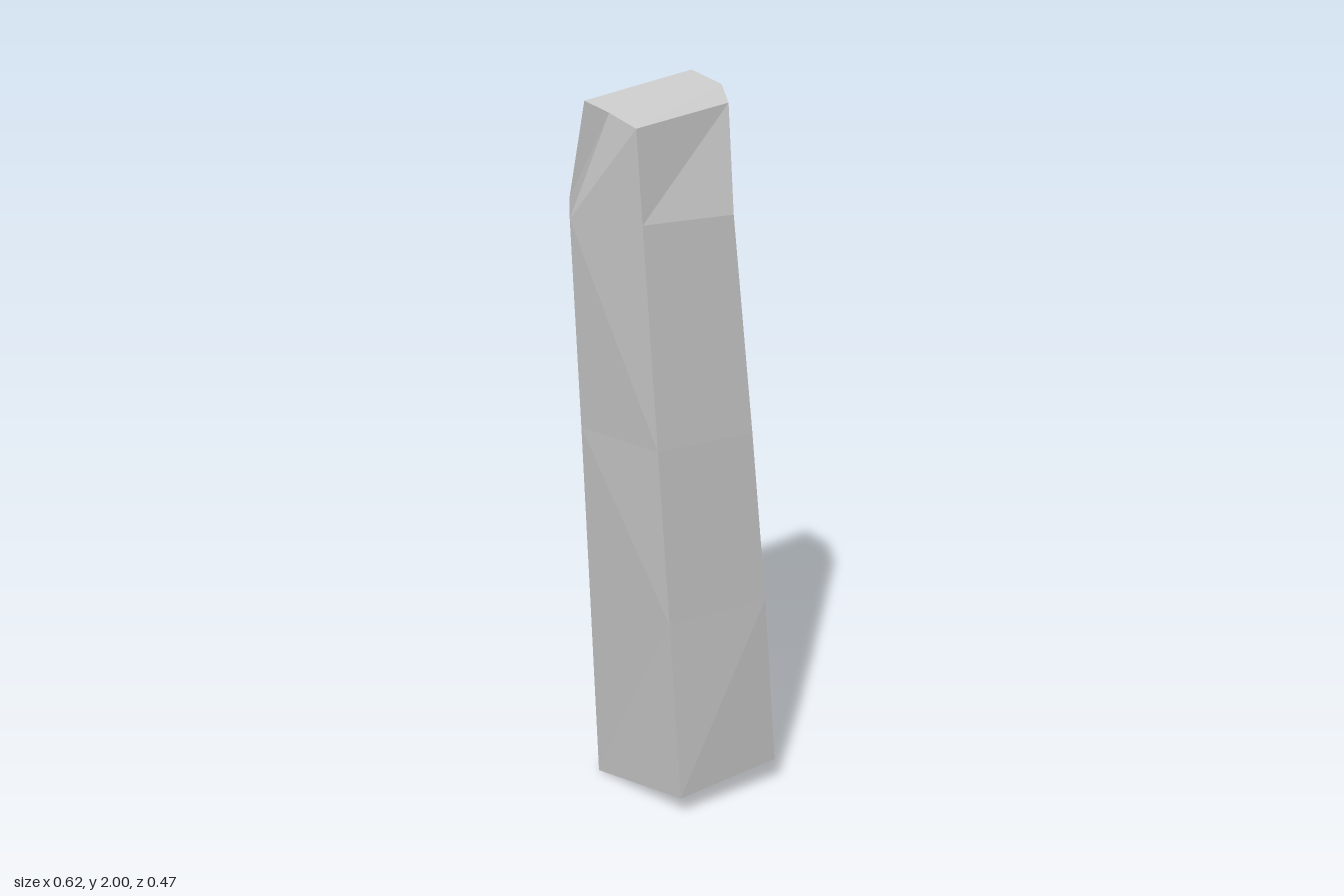
import * as THREE from 'three';

// Cross-sections from base to tip; each runs front-left, front ridge, right,
// back-right, back, left.
const RINGS = [
  [[-0.12, 0.06, 0.16], [0.195, 0.08, 0.18], [0.31, 0.12, -0.085], [0.215, 0.1, -0.2], [-0.15, 0, -0.18], [-0.15, 0, -0.18]],
  [[-0.16, 0.6, 0.165], [0.135, 0.6, 0.2], [0.235, 0.6, 0], [0.21, 0.8, -0.207], [-0.11, 0.5, -0.235], [-0.207, 0.6, -0.128]],
  [[-0.2, 1.1, 0.17], [0.07, 1.1, 0.215], [0.25, 1.1, -0.095], [0.175, 1.1, -0.182], [-0.178, 1.1, -0.183], [-0.255, 1.1, -0.085]],
  [[-0.248, 1.7, 0.177], [-0.015, 1.7, 0.235], [0.173, 1.75, -0.052], [0.1, 1.75, -0.128], [-0.245, 1.7, -0.133], [-0.313, 1.68, -0.035]],
  [[-0.267, 1.94, 0.18], [-0.01, 1.97, 0.205], [0.06, 1.985, 0.09], [0.06, 2, -0.03], [-0.26, 1.965, -0.04], [-0.273, 1.96, 0.08]],
];

function loft(rings) {
  const n = rings[0].length;
  const index = [];
  for (let r = 0; r < rings.length - 1; r++) {
    for (let c = 0; c < n; c++) {
      const a = r * n + c, b = r * n + (c + 1) % n;
      const d = a + n, e = b + n;
      // The crease direction differs on the end bands and the middle bands
      if (r % 3 === 0) index.push(a, b, e, a, e, d);
      else index.push(a, b, d, b, e, d);
    }
  }
  // Base and tip caps
  const top = (rings.length - 1) * n;
  for (let c = 1; c < n - 1; c++) {
    index.push(0, c + 1, c, top, top + c, top + c + 1);
  }
  const indexed = new THREE.BufferGeometry();
  indexed.setAttribute('position', new THREE.Float32BufferAttribute(rings.flat(2), 3));
  indexed.setIndex(index);
  const geometry = indexed.toNonIndexed();
  geometry.computeVertexNormals();
  return geometry;
}

export function createModel() {
  const group = new THREE.Group();
  group.name = 'standingStone';
  // Leaning faceted stone pillar
  const stone = new THREE.Mesh(
    loft(RINGS),
    new THREE.MeshStandardMaterial({ color: 0xcccccc, flatShading: true }),
  );
  stone.name = 'stonePillar';
  group.add(stone);
  return group;
}
